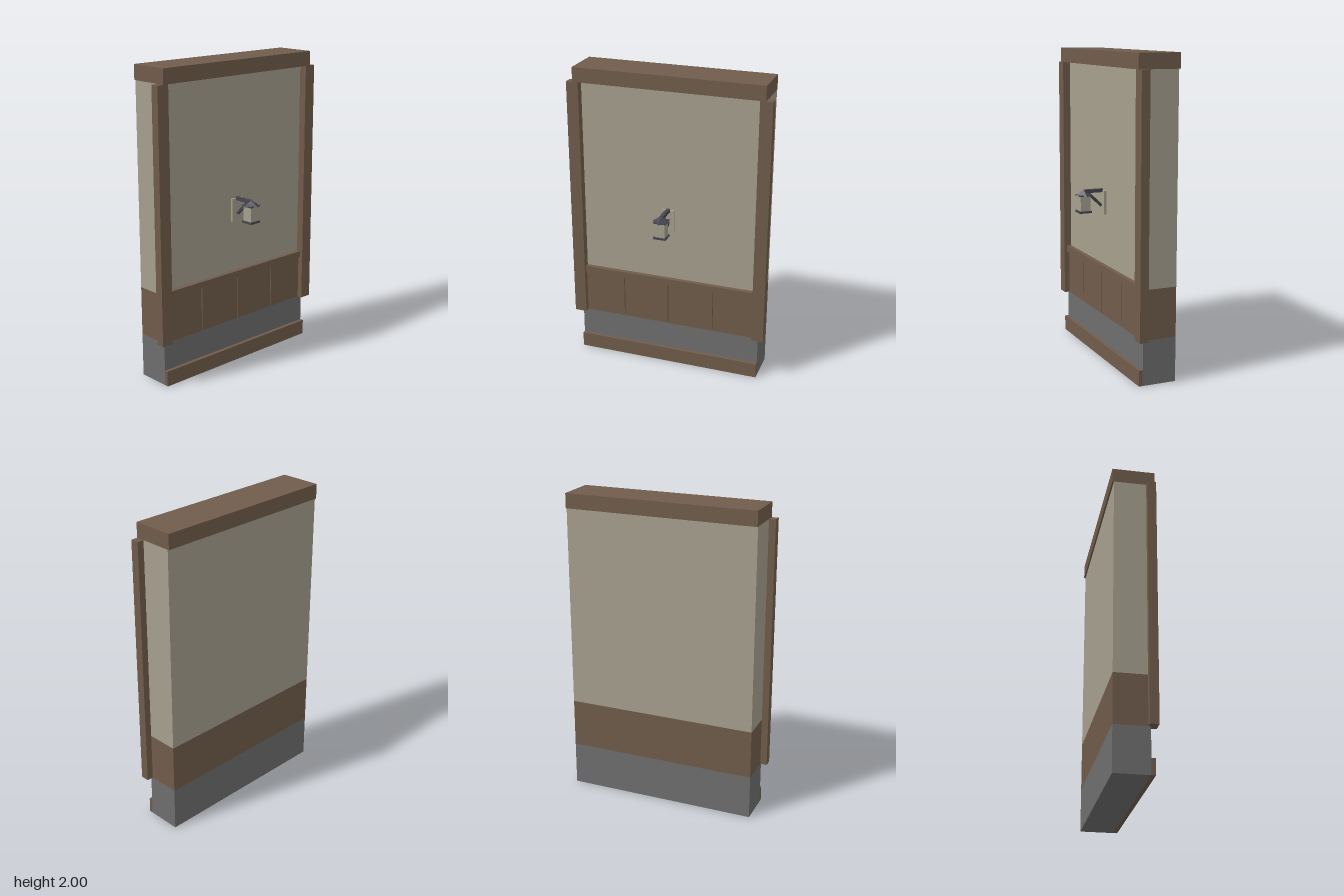
import * as THREE from 'three';

export function createModel() {
  const group = new THREE.Group();
  group.name = 'wallSection';

  const material = (name, color) => {
    const m = new THREE.MeshStandardMaterial({ color, flatShading: true });
    m.name = name;
    return m;
  };
  const wood = material('brownWood', 0x705c4b);
  const plaster = material('beigePlaster', 0xa69f8e);
  const stone = material('greyStone', 0x6e6e6e);
  const iron = material('darkIron', 0x46474f);

  const add = (name, geometry, mat, parent = group) => {
    const mesh = new THREE.Mesh(geometry, mat);
    mesh.name = name;
    parent.add(mesh);
    return mesh;
  };
  // Box given by its extents on each axis
  const box = (name, mat, [x0, x1], [y0, y1], [z0, z1], parent = group) => {
    const mesh = add(name, new THREE.BoxGeometry(x1 - x0, y1 - y0, z1 - z0), mat, parent);
    mesh.position.set((x0 + x1) / 2, (y0 + y1) / 2, (z0 + z1) / 2);
    return mesh;
  };

  // Wall core in three bands
  const W = 0.622;
  box('stoneFooting', stone, [-W, W], [0, 0.285], [-0.2, 0.02]);
  box('woodBand', wood, [-W, W], [0.285, 0.6], [-0.2, 0.01]);
  box('plasterWall', plaster, [-W, W], [0.6, 1.905], [-0.2, 0.01]);

  // Timber trim
  box('topBeam', wood, [-W, W], [1.905, 2], [-0.21, 0.06]);
  box('baseBoard', wood, [-W, W], [0, 0.1], [0.02, 0.045]);
  box('wainscotRail', wood, [-0.585, 0.585], [0.58, 0.622], [0.01, 0.04]);
  for (const s of [-1, 1]) {
    const post = box('sidePost', wood, [-0.04, 0.04], [0.285, 1.905], [0.005, 0.06]);
    post.position.x = s * 0.625;
  }

  // Four wainscot panels with narrow joints
  for (let i = 0; i < 4; i++) {
    const x = -W + i * W / 2;
    box('wainscotPanel', wood, [x + 0.003, x + W / 2 - 0.003], [0.285, 0.58], [0.01, 0.025]);
  }

  // Wall lantern
  const lantern = new THREE.Group();
  lantern.name = 'lantern';
  group.add(lantern);
  const Z = 0.15;
  box('backPlate', plaster, [-0.043, 0.043], [0.957, 1.11], [0.01, 0.025], lantern);
  box('arm', iron, [-0.012, 0.012], [1.098, 1.12], [0.02, Z], lantern);
  const brace = add('brace', new THREE.BoxGeometry(0.016, 0.016, 0.13), iron, lantern);
  brace.position.set(0, 1.055, 0.075);
  brace.rotation.x = -Math.PI / 4;
  box('lanternGlass', plaster, [-0.033, 0.033], [0.985, 1.085], [Z - 0.033, Z + 0.033], lantern);
  box('lanternBase', iron, [-0.041, 0.041], [0.973, 0.986], [Z - 0.041, Z + 0.041], lantern);
  const roof = add('lanternRoof', new THREE.ConeGeometry(0.06, 0.04, 4), iron, lantern);
  roof.position.set(0, 1.102, Z);
  box('lanternCap', iron, [-0.041, 0.041], [1.081, 1.089], [Z - 0.041, Z + 0.041], lantern);

  return group;
}
